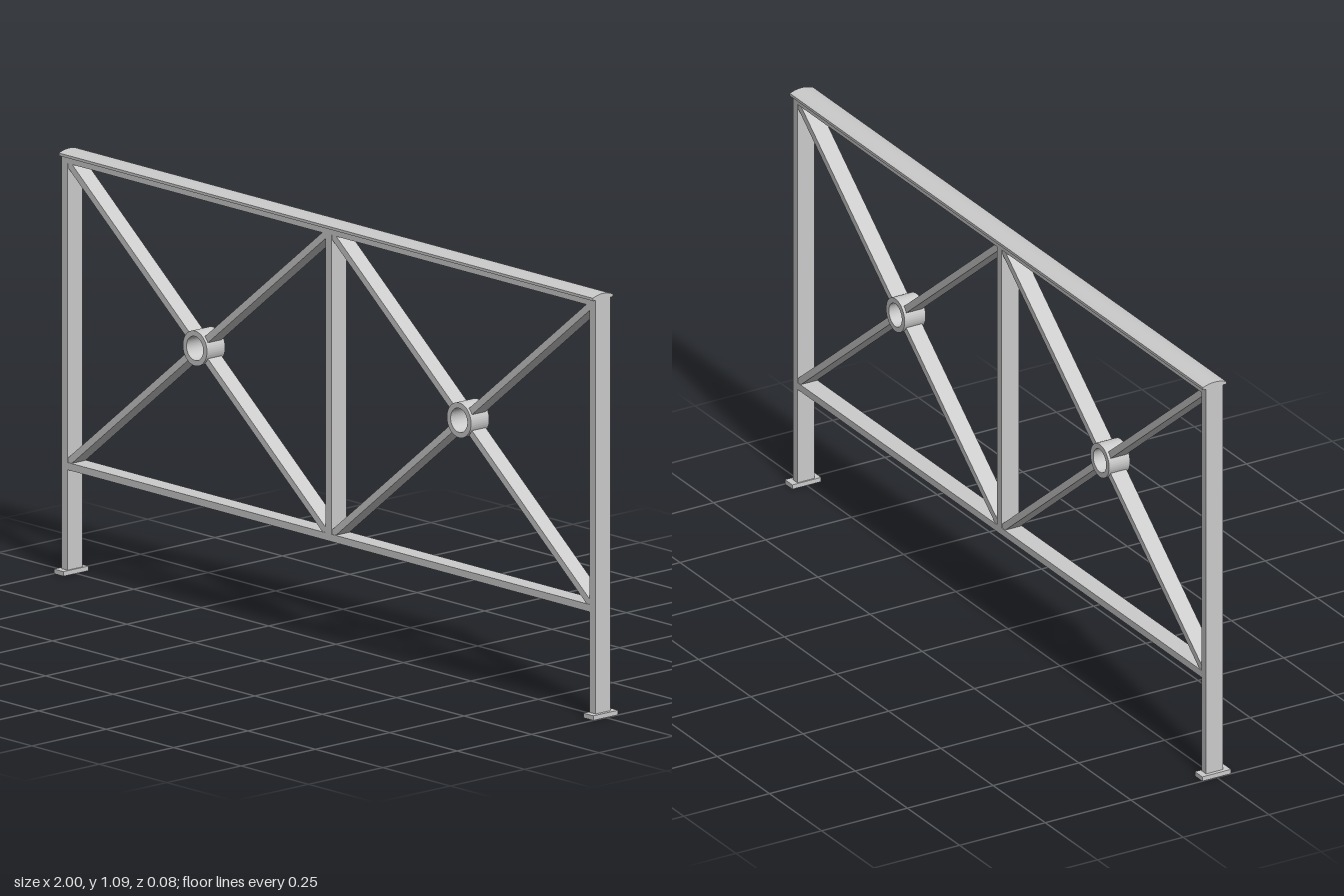
import * as THREE from 'three';

const material = new THREE.MeshStandardMaterial({ color: 0xcccccc });

function add(parent, name, geometry, x = 0, y = 0, z = 0) {
  const mesh = new THREE.Mesh(geometry, material);
  mesh.name = name;
  mesh.position.set(x, y, z);
  parent.add(mesh);
  return mesh;
}

// Extrusion centred on z = 0
function slab(shape, depth, curveSegments = 12) {
  const g = new THREE.ExtrudeGeometry(shape, { depth, bevelEnabled: false, curveSegments });
  return g.translate(0, 0, -depth / 2);
}

export function createModel() {
  const group = new THREE.Group();
  group.name = 'railing';

  const depth = 0.05, bar = 0.022, half = 0.99;
  const railLow = 0.27, openLow = 0.289, openHigh = 1.058, railTop = 1.076;
  const inner = half - bar;

  // End posts with foot plates
  for (const side of [-1, 1]) {
    add(group, 'endPost', new THREE.BoxGeometry(bar, railTop, depth), side * (half - bar / 2), railTop / 2);
    add(group, 'footPlate', new THREE.BoxGeometry(0.036, 0.012, 0.084), side * 0.982, 0.006);
  }

  // Horizontal rails and middle post
  add(group, 'topRail', new THREE.BoxGeometry(inner * 2, railTop - openHigh, depth), 0, (railTop + openHigh) / 2);
  add(group, 'bottomRail', new THREE.BoxGeometry(inner * 2, openLow - railLow, depth), 0, (openLow + railLow) / 2);
  add(group, 'middlePost', new THREE.BoxGeometry(bar, openHigh - openLow, depth), 0, (openHigh + openLow) / 2);

  // Handrail cap with a gently domed top
  const cap = new THREE.Shape();
  cap.moveTo(-0.034, 1.075);
  cap.lineTo(0.034, 1.075);
  cap.lineTo(0.034, 1.082);
  cap.quadraticCurveTo(0, 1.096, -0.034, 1.082);
  cap.closePath();
  add(group, 'handrail', slab(cap, half * 2)).rotation.y = Math.PI / 2;

  // Diagonal brace, cut to fit the corner of its opening
  const a = (inner - bar / 2) / 2, b = (openHigh - openLow) / 2;
  const L = Math.hypot(a, b), w = 0.009, r = 0.039;
  const ux = a / L, uy = b / L;
  function braceShape(sx, sy) {
    const points = [
      [ux * r + uy * w, uy * r - ux * w],
      [a, b - w / ux],
      [a, b],
      [a - w / uy, b],
      [ux * r - uy * w, uy * r + ux * w],
    ];
    return new THREE.Shape(points.map(([x, y]) => new THREE.Vector2(x * sx, y * sy)));
  }

  // Round collar where the braces meet
  const collar = new THREE.Shape().absarc(0, 0, 0.045, 0, Math.PI * 2, false);
  collar.holes.push(new THREE.Path().absarc(0, 0, 0.031, 0, Math.PI * 2, true));

  for (const side of [-1, 1]) {
    const panel = new THREE.Group();
    panel.name = 'crossPanel';
    panel.position.set(side * (inner + bar / 2) / 2, (openHigh + openLow) / 2, 0);
    for (const sx of [-1, 1])
      for (const sy of [-1, 1]) add(panel, 'brace', slab(braceShape(sx, sy), 0.046));
    add(panel, 'collar', slab(collar, 0.061, 24));
    group.add(panel);
  }
  return group;
}
